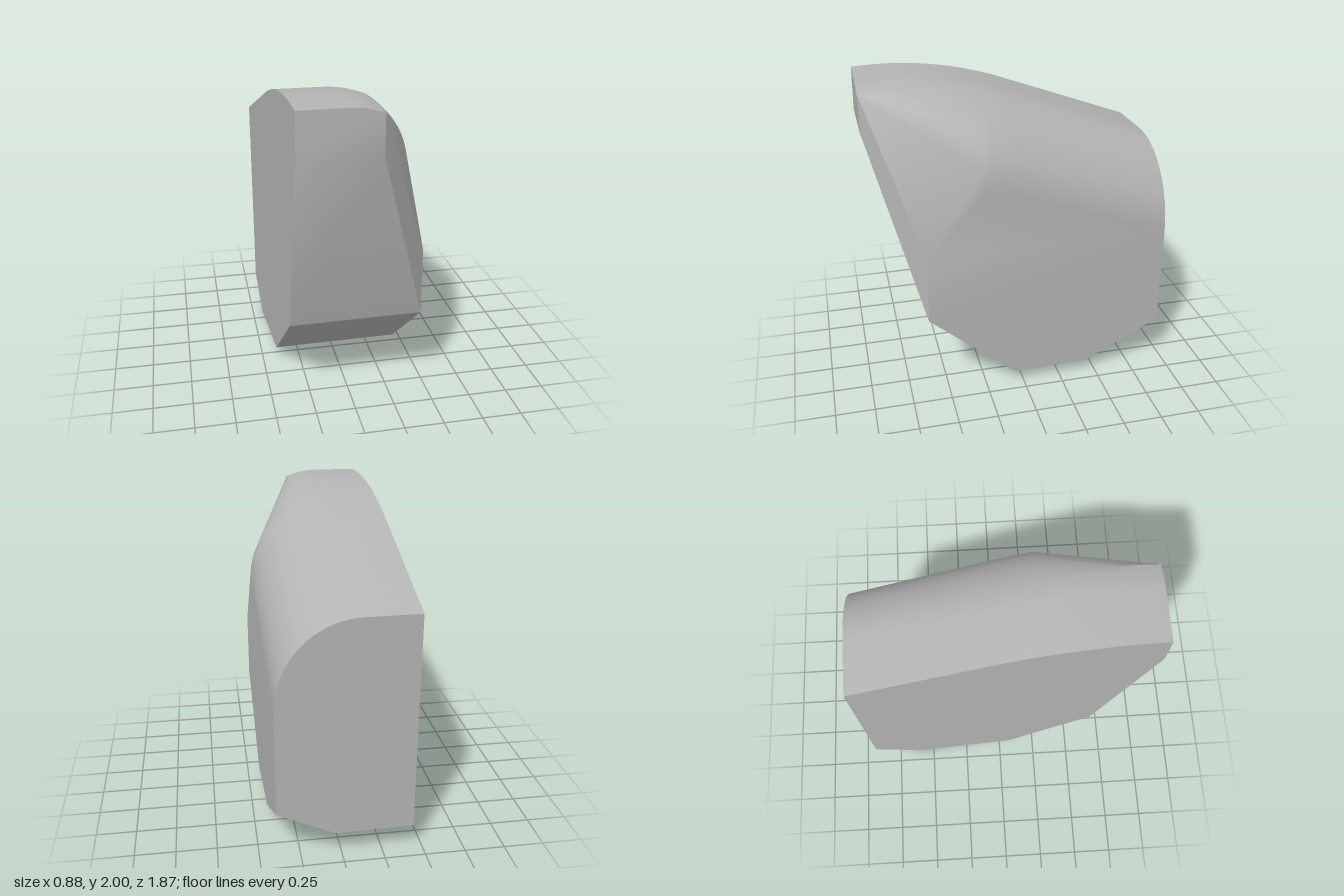
import * as THREE from 'three';
import { ConvexGeometry } from 'three/addons/geometries/ConvexGeometry.js';
import { toCreasedNormals } from 'three/addons/utils/BufferGeometryUtils.js';

// The two long sides and the back are slightly tapered planes
const leftX = (z) => -0.41 + 0.031 * z;
const rightX = (z) => 0.424 + 0.026 * z;
const backZ = (x) => -0.93 - 0.024 * x;

// Height of the crest: a straight ramp that levels off towards the front
const crestY = (z) => (z < 0 ? 1.87 + 0.367 * z : 1.87 + 0.345 * z - 0.228 * z * z);

const ROUND_X = -0.1; // where the rounded shoulder starts
const ROUND_H = 0.53; // height of the rounded shoulder
const NOSE_X = 0.1; // the nose is cut off here

function shoulderPoint(a, z) {
  const x = ROUND_X + (rightX(z) - ROUND_X) * Math.sin(a);
  return new THREE.Vector3(x, crestY(z) - ROUND_H * (1 - Math.cos(a)), z);
}

export function createModel() {
  const group = new THREE.Group();
  const grey = new THREE.MeshStandardMaterial({ color: 0xb4b4b4 });
  grey.name = 'stone grey';
  const points = [];
  const add = (x, y, z) => points.push(new THREE.Vector3(x, y, z));

  // Rounded shoulder, from the back to the start of the nose
  const steps = 20;
  for (const z of [-0.93, 0, 0.08, 0.16, 0.24]) {
    add(leftX(z), crestY(z), z < -0.9 ? backZ(leftX(z)) : z);
    for (let i = 0; i <= steps; i++) {
      const p = shoulderPoint((i / steps) * Math.PI / 2, z);
      if (z < -0.9) p.z = backZ(p.x);
      points.push(p);
    }
  }

  // Crest of the nose
  for (const z of [0.33, 0.42, 0.52, 0.62, 0.72, 0.82, 0.93]) {
    add(leftX(z), crestY(z), z);
    const end = Math.asin((NOSE_X - ROUND_X) / (rightX(z) - ROUND_X));
    for (let i = 0; i <= 5; i++) points.push(shoulderPoint((i / 5) * end, z));
  }

  // Nose tip and front face, with the cut corner
  add(leftX(0.935), 1.72, 0.935);
  add(NOSE_X, 1.72, 0.93);
  add(rightX(0.61), 1.0, 0.61);
  add(rightX(0.62), 0.57, 0.62);
  add(leftX(0.63), 0.57, 0.63);

  // Underside
  add(leftX(0.07), 0.08, 0.07);
  add(rightX(0.06), 0.08, 0.06);
  add(rightX(-0.44), 0.08, -0.44);
  add(0.05, 0, -0.59);
  add(leftX(-0.59), 0, -0.59);

  // Lower edge of the back
  add(rightX(-0.94), 0.33, backZ(0.4));
  add(0.04, 0.16, backZ(0.04));
  add(leftX(-0.92), 0.16, backZ(-0.44));

  const geometry = toCreasedNormals(new ConvexGeometry(points), THREE.MathUtils.degToRad(24));
  const block = new THREE.Mesh(geometry, grey);
  block.name = 'block';
  group.add(block);
  return group;
}
